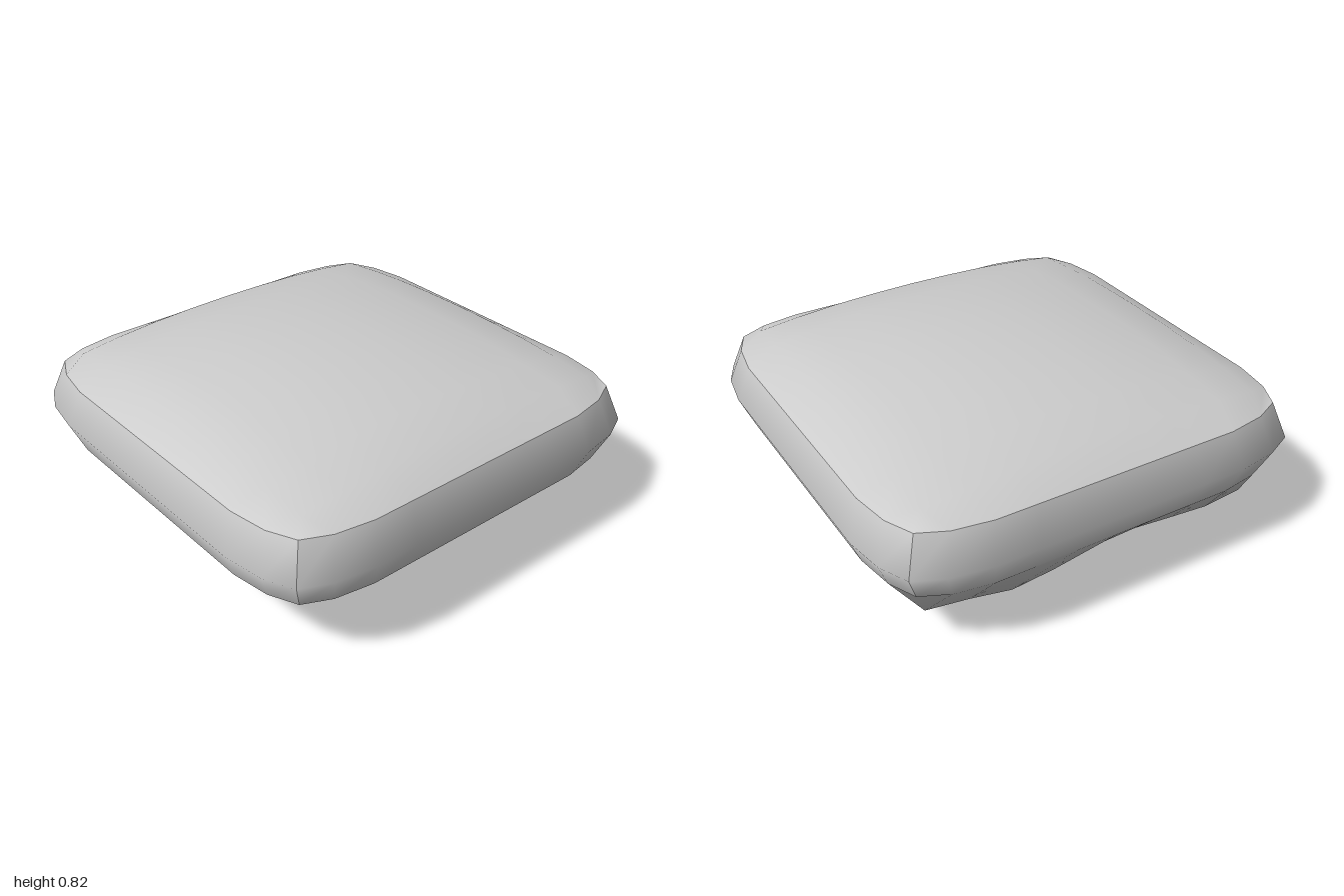
import * as THREE from 'three';

// Profiles sampled every 0.2 from -1 to 1
const CROWN = [0, 0.49, 0.71, 0.886, 0.97, 1, 0.97, 0.886, 0.71, 0.49, 0];
const DEPTH_X = [0, 0.18, 0.26, 0.265, 0.235, 0.25, 0.312, 0.34, 0.245, 0.155, 0];
const DEPTH_Z = [0, 0.215, 0.22, 0.315, 0.34, 0.31, 0.315, 0.34, 0.27, 0.135, 0];

// Local lumps on the rough underside: x, z, height change, radius
const LUMPS = [
  [-0.8, -0.8, -0.06, 0.2],
  [0.8, -0.8, -0.05, 0.2],
  [-0.3, 0.45, 0.05, 0.25],
];

const sample = (profile, t) => profile[Math.round((t + 1) * 5)];

// How far an edge point is pulled in near a corner of the plan
const corner = (t) => {
  const a = Math.abs(t);
  return a > 0.9 ? 0.09 : a > 0.7 ? 0.03 : 0;
};

function underside(u, v) {
  let y = 0.345 - (sample(DEPTH_X, u) * sample(DEPTH_Z, v)) / 0.34;
  const fade = Math.max(Math.abs(u), Math.abs(v)) > 0.99 ? 0 : 1;
  for (const [x, z, height, radius] of LUMPS) {
    y += fade * height * Math.exp(-((u - x) ** 2 + (v - z) ** 2) / radius ** 2);
  }
  return Math.max(y, 0);
}

export function createModel() {
  const group = new THREE.Group();
  group.name = 'stoneSlab';

  // Each box side keeps its own smooth normals, so the rims stay crisp
  const geometry = new THREE.BoxGeometry(2, 2, 2, 10, 2, 10);
  const p = geometry.attributes.position;
  for (let i = 0; i < p.count; i++) {
    const u = p.getX(i), level = Math.round(p.getY(i)), v = p.getZ(i);
    const rim = Math.max(Math.abs(u), Math.abs(v)) > 0.99;
    const scale = rim && level !== 0 ? 0.943 : 1;
    const x = u * (1 - Math.abs(u) ** 6 * corner(v)) * scale;
    const z = v * (1 - Math.abs(v) ** 6 * corner(u)) * scale;
    let y = 0.48;
    if (level > 0) y = 0.645 + 0.175 * sample(CROWN, u) * sample(CROWN, v);
    if (level < 0) y = underside(u, v);
    p.setXYZ(i, x, y, z);
  }
  geometry.computeVertexNormals();

  const slab = new THREE.Mesh(geometry, new THREE.MeshStandardMaterial({ color: 0xcccccc }));
  slab.name = 'slab';
  group.add(slab);
  return group;
}
